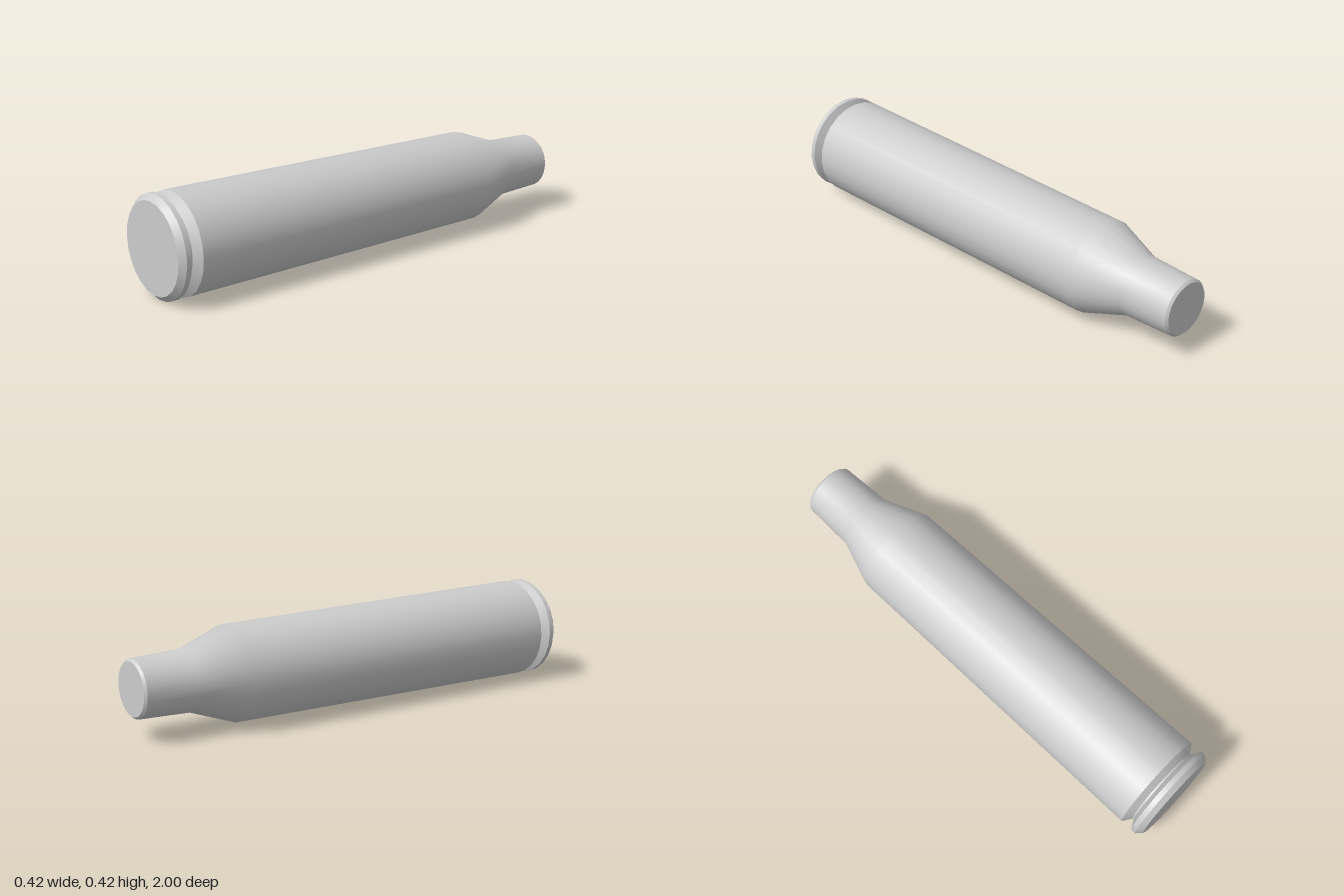
import * as THREE from 'three';
import { mergeGeometries } from 'three/addons/utils/BufferGeometryUtils.js';

const SIDES = 24;
const AXIS_HEIGHT = 0.212;

// Turns [radius, z] profiles around the z axis; separate profiles meet at sharp edges.
function turned(name, profiles, material) {
  const sections = profiles.map((profile) =>
    new THREE.LatheGeometry(profile.map(([r, z]) => new THREE.Vector2(r, z)), SIDES));
  const geometry = mergeGeometries(sections);
  geometry.rotateX(Math.PI / 2);
  const mesh = new THREE.Mesh(geometry, material);
  mesh.name = name;
  mesh.position.y = AXIS_HEIGHT;
  return mesh;
}

export function createModel() {
  const group = new THREE.Group();
  group.name = 'cartridgeCase';
  const material = new THREE.MeshStandardMaterial({ color: 0xcccccc });

  // Closed, slightly bevelled mouth
  group.add(turned('mouth', [
    [[0, -1], [0.109, -1]],
    [[0.109, -1], [0.118, -0.99]],
  ], material));

  // Neck, sloping shoulder and gently tapered body
  group.add(turned('body', [
    [[0.118, -0.99], [0.126, -0.77], [0.197, -0.575], [0.211, 0.905]],
  ], material));

  // Extractor groove
  group.add(turned('groove', [
    [[0.211, 0.905], [0.174, 0.93]],
    [[0.174, 0.93], [0.174, 0.937]],
    [[0.174, 0.937], [0.211, 0.956]],
  ], material));

  // Rim with bevelled edge and flat base
  group.add(turned('rim', [
    [[0.211, 0.956], [0.211, 0.977]],
    [[0.211, 0.977], [0.188, 1]],
    [[0.188, 1], [0, 1]],
  ], material));

  return group;
}
